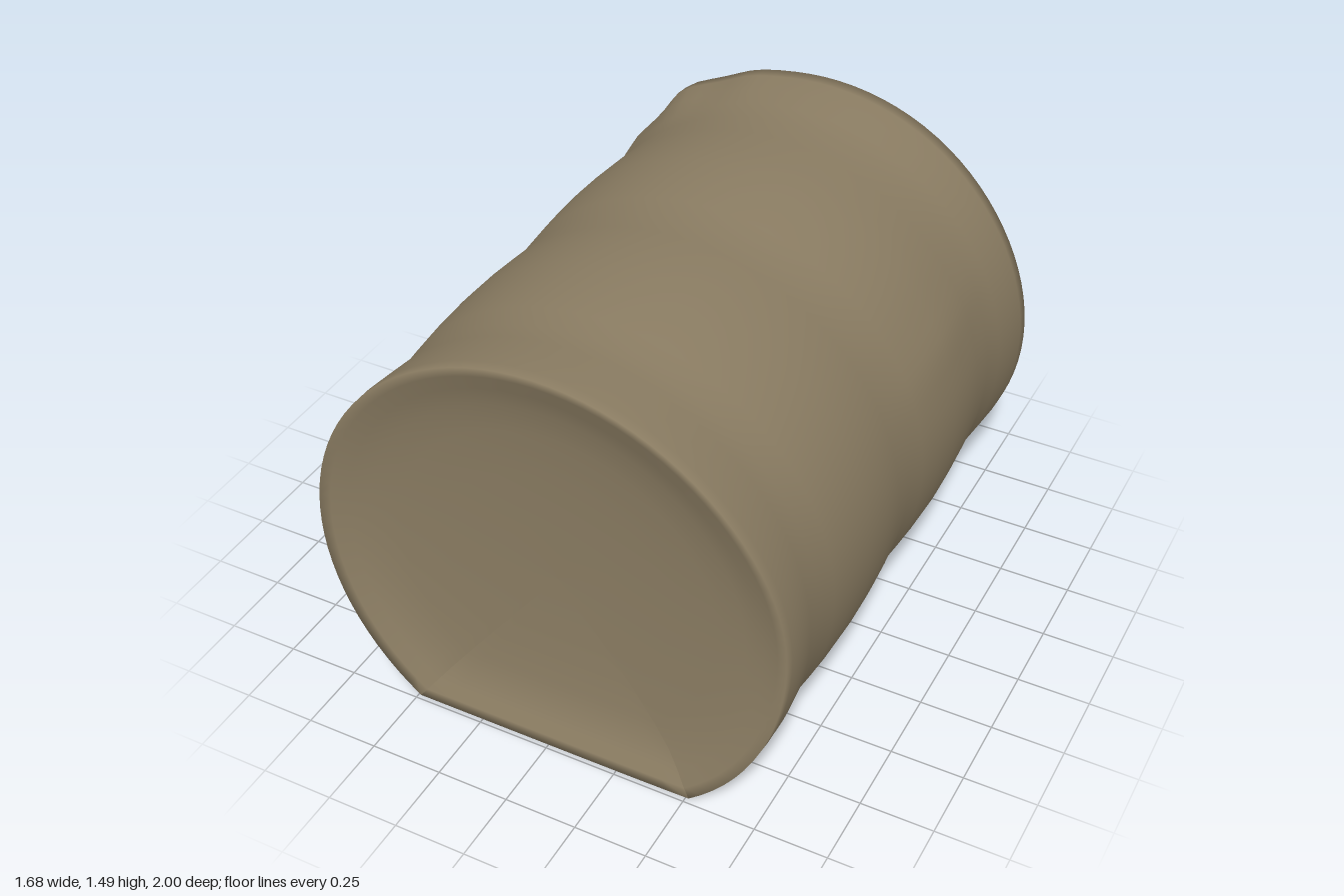
import * as THREE from 'three';

const CX = 0.02, CY = 0.673;
const CORNER = THREE.MathUtils.degToRad(-52.5); // where the round wall meets the flat underside

// Unit outline: a circle cut off flat below; corners are doubled to keep that edge crisp
function outline() {
  const points = [];
  const arc = 72, flat = 12;
  const sweep = Math.PI - 2 * CORNER;
  for (let i = 0; i <= arc; i++) {
    const a = CORNER + (sweep * i) / arc;
    points.push([Math.cos(a), Math.sin(a)]);
  }
  const half = Math.cos(CORNER), low = Math.sin(CORNER);
  for (let i = 0; i <= flat; i++) points.push([-half + (2 * half * i) / flat, low]);
  return points;
}

// Profile as [z, radius]: dished front, rim, three grooves, rim, dished back
const PROFILE = [
  [0.91, 0], [0.912, 0.2], [0.918, 0.4], [0.93, 0.56], [0.945, 0.66], [0.968, 0.73], [0.99, 0.785],
  [1, 0.82], [0.96, 0.82], [0.88, 0.813], [0.8, 0.805], [0.72, 0.797],
  [0.63, 0.806], [0.52, 0.814], [0.38, 0.818], [0.25, 0.815], [0.13, 0.807], [0.03, 0.797],
  [-0.07, 0.806], [-0.19, 0.814], [-0.32, 0.818], [-0.43, 0.815], [-0.56, 0.807], [-0.68, 0.797],
  [-0.77, 0.805], [-0.86, 0.813], [-0.95, 0.82], [-1, 0.82],
  [-0.99, 0.785], [-0.968, 0.73], [-0.945, 0.66], [-0.93, 0.56], [-0.918, 0.4], [-0.912, 0.2], [-0.91, 0],
];

// Dents and bumps: direction in degrees, z, angular width, z width, radial push, z push
const DENTS = [
  [180, 0.25, 9, 0.1, 0.05, 0],
  [128, -0.95, 7, 0.12, 0.03, 0.02],
  [108, -0.97, 6, 0.08, 0.012, 0.012],
  [152, -0.95, 7, 0.12, 0.014, 0.015],
  [232, -0.43, 5, 0.12, 0.03, 0],
  [25, -0.35, 6, 0.25, 0.008, 0],
  [0, 1, 30, 0.07, -0.02, -0.045],
  [25, -1, 30, 0.07, 0, 0.02],
];

function dent(x, y, z, r) {
  const angle = THREE.MathUtils.radToDeg(Math.atan2(y, x));
  let dr = 0, dz = 0;
  for (const [a, z0, wa, wz, pr, pz] of DENTS) {
    const da = THREE.MathUtils.euclideanModulo(angle - a + 180, 360) - 180;
    const k = Math.exp(-((da / wa) ** 2) - ((z - z0) / wz) ** 2) * THREE.MathUtils.smoothstep(r, 0.5, 0.8);
    dr += pr * k;
    dz += pz * k;
  }
  return [r + dr, z + dz];
}

function barrelGeometry() {
  const ring = outline();
  const n = ring.length;
  const positions = [], indices = [];
  for (const [z, r] of PROFILE) {
    for (const [x, y] of ring) {
      const [rr, zz] = dent(x, y, z, r);
      positions.push(CX + x * rr, CY + y * rr, zz);
    }
  }
  for (let i = 0; i < PROFILE.length - 1; i++) {
    for (let j = 0; j < n; j++) {
      const k = (j + 1) % n;
      const a = i * n + j, b = a + n, c = (i + 1) * n + k, d = i * n + k;
      indices.push(a, b, c, a, c, d);
    }
  }
  const geometry = new THREE.BufferGeometry();
  geometry.setAttribute('position', new THREE.Float32BufferAttribute(positions, 3));
  geometry.setIndex(indices);
  geometry.computeVertexNormals();
  return geometry;
}

export function createModel() {
  const group = new THREE.Group();
  group.name = 'dentedBarrel';
  const drab = new THREE.MeshStandardMaterial({ color: 0x8a7c62 });
  drab.name = 'drab brown';
  const barrel = new THREE.Mesh(barrelGeometry(), drab);
  barrel.name = 'barrelBody';
  group.add(barrel);
  return group;
}
